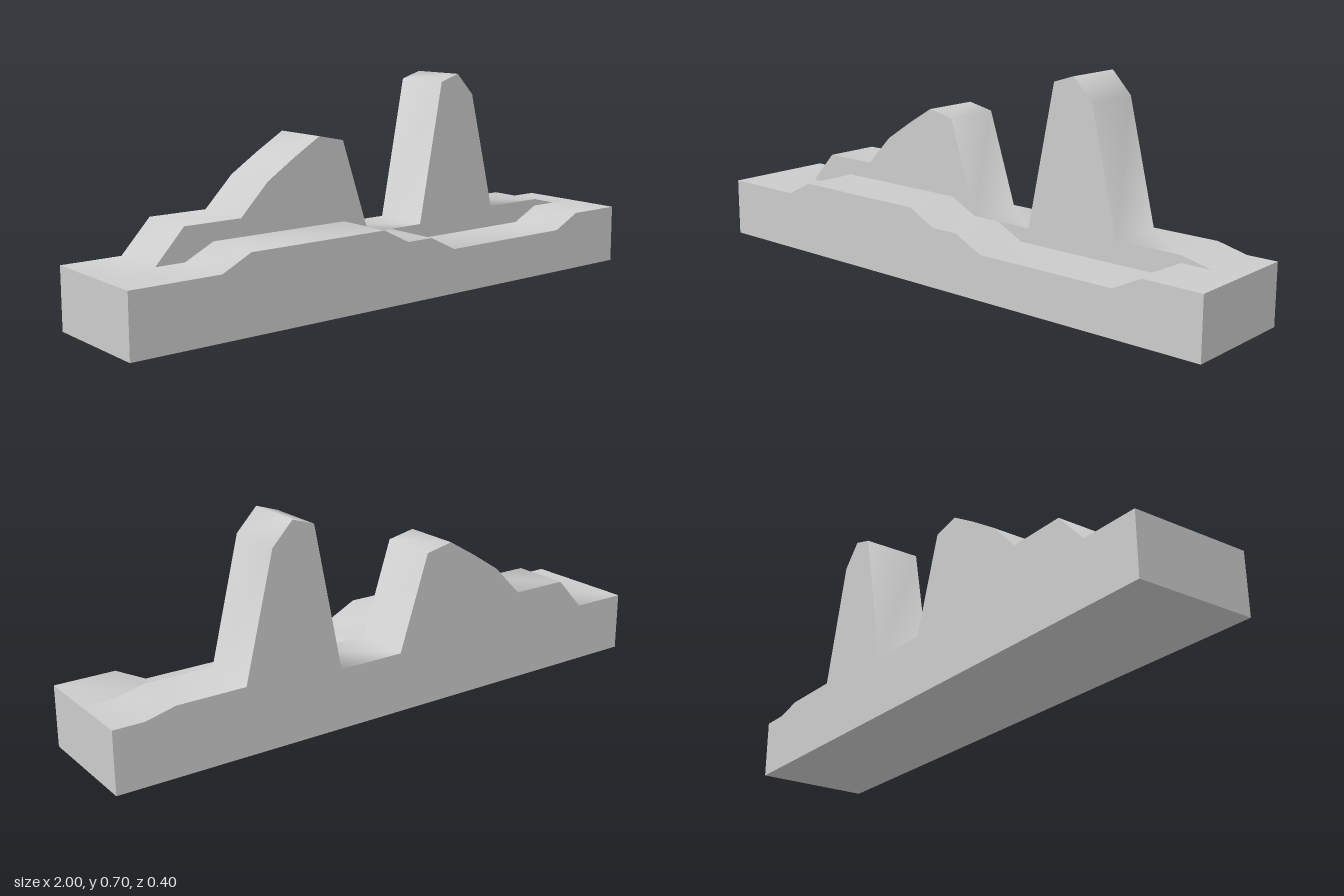
import * as THREE from 'three';
import { toCreasedNormals } from 'three/addons/utils/BufferGeometryUtils.js';

const DEPTH = 0.2;
const CREASE = Math.PI * 0.47; // blends the terrain steps, keeps the block edges sharp

// Height profiles as [x, y], from the right end to the left end
const FRONT_PROFILE = [
  [-1, 0.2], [-0.7, 0.2], [-0.6, 0.25], [-0.1, 0.25], [0, 0.2],
  [0.1, 0.2], [0.2, 0.15], [0.7, 0.15], [0.8, 0.2], [1, 0.2],
];
const BACK_PROFILE = [
  [-1, 0.2], [-0.8, 0.2], [-0.7, 0.308], [-0.5, 0.308], [-0.4, 0.41],
  [-0.3, 0.475], [-0.2, 0.535], [-0.105, 0.515], [0, 0.2], [0.23, 0.2],
  [0.325, 0.68], [0.4, 0.704], [0.47, 0.63], [0.57, 0.224], [0.8, 0.224],
  [0.9, 0.2], [1, 0.2],
];

// A solid strip standing on the floor, with the profile as its upper side
function terrainStrip(name, profile, z, material) {
  const outline = [[-1, 0], [1, 0], ...[...profile].reverse()];
  const shape = new THREE.Shape(outline.map(([x, y]) => new THREE.Vector2(x, y)));
  const geometry = new THREE.ExtrudeGeometry(shape, { depth: DEPTH, bevelEnabled: false });
  const mesh = new THREE.Mesh(toCreasedNormals(geometry, CREASE), material);
  mesh.name = name;
  mesh.position.z = z;
  return mesh;
}

export function createModel() {
  const model = new THREE.Group();
  model.name = 'terrainBlock';
  const material = new THREE.MeshStandardMaterial({ color: 0xcccccc });

  // Low strip with a raised bank and a shallow basin
  model.add(terrainStrip('frontTerrain', FRONT_PROFILE, 0, material));
  // Tall strip with a hill and a steep peak
  model.add(terrainStrip('backTerrain', BACK_PROFILE, -DEPTH, material));
  return model;
}
